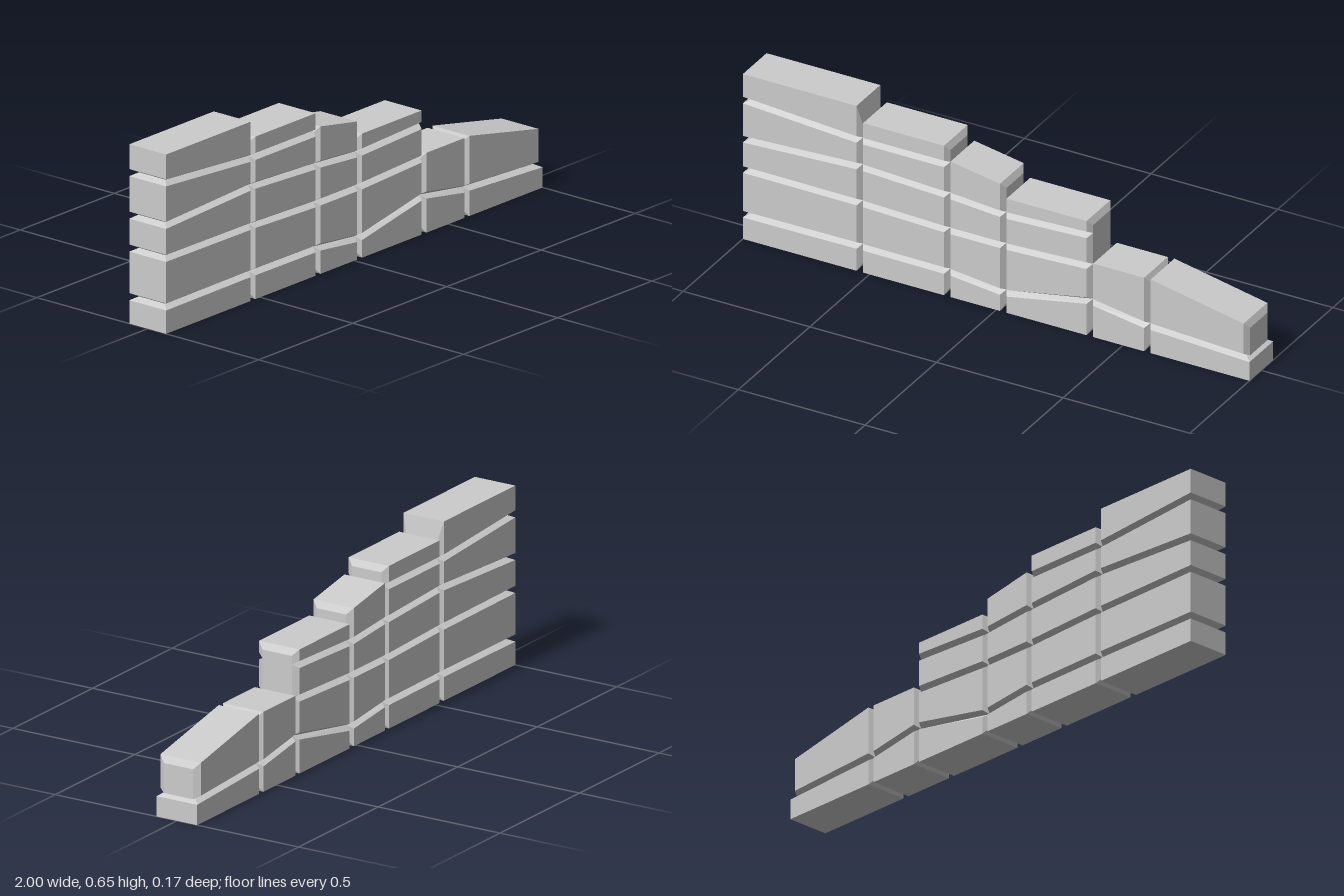
import * as THREE from 'three';
import { ConvexGeometry } from 'three/addons/geometries/ConvexGeometry.js';

const FACE = 0.083;   // half depth of the wall
const CORE = 0.06;    // half depth at the bottom of a groove
const W = 0.013;      // half width of a groove
const INSET = 0.024;  // how far grooves cut into the outline

// Vertical groove lines, with the plain left end first
const xs = [-1, -0.538, -0.193, 0.028, 0.37, 0.597, 0.99];

// Horizontal groove heights at each vertical line
const courses = [
  [0.098, 0.1, 0.098, 0.077, 0.137, 0.105, 0.087],
  [0.275, 0.272, 0.262, 0.262, 0.275],
  [0.395, 0.415, 0.4, 0.385, 0.397],
  [0.55, 0.52, 0.52],
];

// Each column: number of horizontal grooves, top height at left and right
const columns = [
  { grooves: 4, top: [0.653, 0.653], rightInset: 0.085 },
  { grooves: 4, top: [0.592, 0.592] },
  { grooves: 3, top: [0.537, 0.503] },
  { grooves: 3, top: [0.452, 0.452] },
  { grooves: 1, top: [0.291, 0.291] },
  { grooves: 1, top: [0.292, 0.22] },
];

// Edges: {left, right} are x positions, {bottom, top} are [y at left, y at right].
// A grooved edge steps back on the face and reaches its line only at core depth.
function blockGeometry(e) {
  const points = [];
  const add = (x, y, z) => points.push(new THREE.Vector3(x, y, z), new THREE.Vector3(x, y, -z));
  for (const side of [0, 1]) {
    const sx = side ? -1 : 1;
    const lineX = side ? e.right : e.left;
    const sideGroove = side ? e.rightGroove : e.leftGroove;
    for (const up of [0, 1]) {
      const sy = up ? -1 : 1;
      const lineY = (up ? e.top : e.bottom)[side];
      const levelGroove = up ? e.topGroove : e.bottomGroove;
      add(lineX + (sideGroove ? sx * W : 0), lineY + (levelGroove ? sy * W : 0), FACE);
      if (sideGroove || levelGroove) {
        const inset = up && side && e.rightInset ? e.rightInset : INSET;
        add(lineX + (sideGroove ? 0 : sx * INSET), lineY + (levelGroove ? 0 : sy * inset), CORE);
      }
    }
  }
  return new ConvexGeometry(points);
}

export function createModel() {
  const wall = new THREE.Group();
  wall.name = 'steppedStoneWall';
  const material = new THREE.MeshStandardMaterial({ color: 0xcccccc, flatShading: true });

  columns.forEach((col, c) => {
    const column = new THREE.Group();
    column.name = `column${c + 1}`;
    for (let r = 0; r <= col.grooves; r++) {
      const isTop = r === col.grooves;
      // The last foundation stone projects as a plain end
      const plainEnd = c === columns.length - 1 && r === 0;
      const mesh = new THREE.Mesh(blockGeometry({
        left: xs[c],
        right: plainEnd ? 1 : xs[c + 1],
        bottom: r ? [courses[r - 1][c], courses[r - 1][c + 1]] : [0, 0],
        top: isTop ? col.top : [courses[r][c], courses[r][c + 1]],
        leftGroove: c > 0,
        rightGroove: !plainEnd,
        bottomGroove: r > 0,
        topGroove: !isTop,
        rightInset: isTop ? col.rightInset : 0,
      }), material);
      mesh.name = r === 0 ? 'foundationStone' : isTop ? 'capStone' : 'wallStone';
      column.add(mesh);
    }
    wall.add(column);
  });
  return wall;
}
